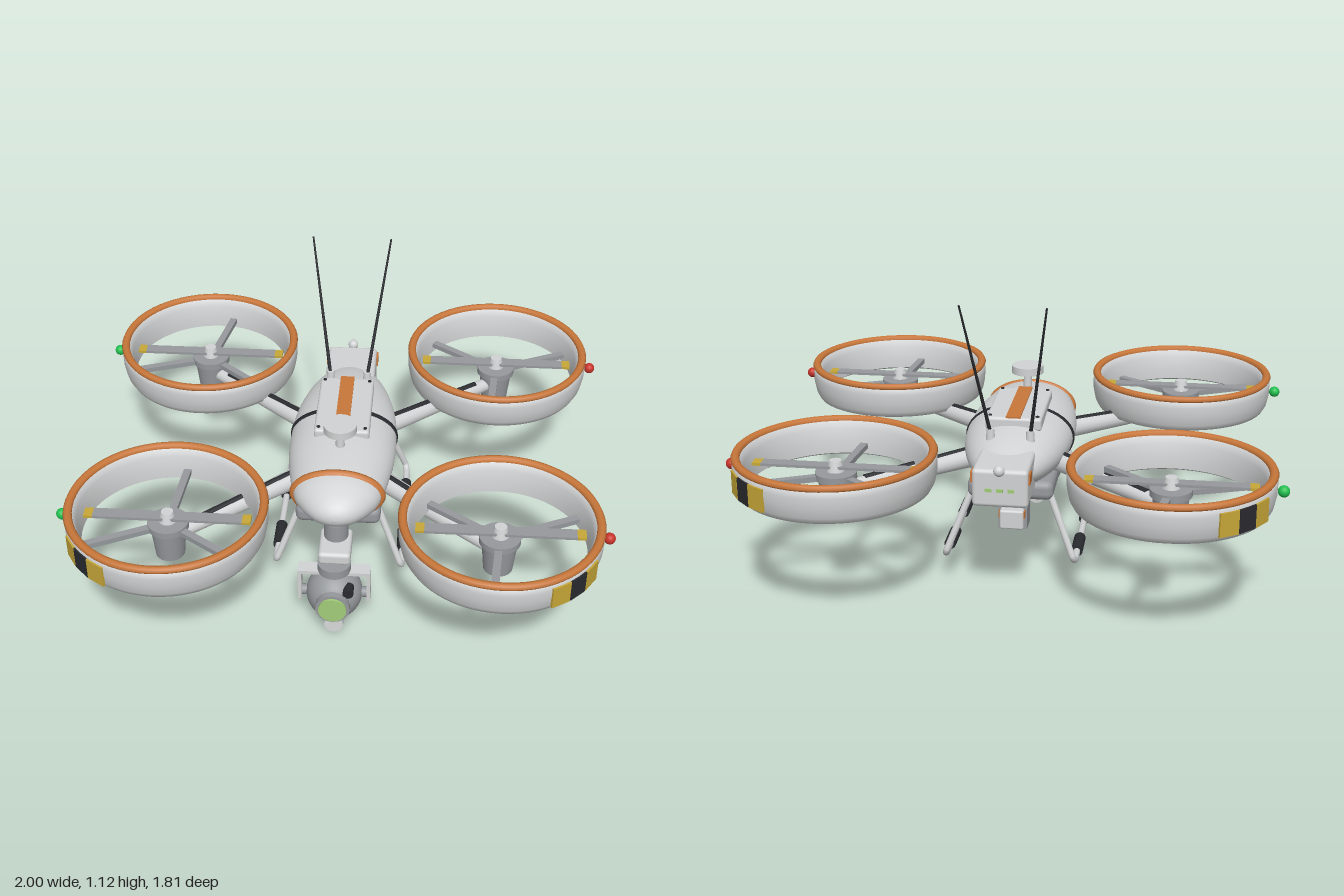
import * as THREE from 'three';
import { RoundedBoxGeometry } from 'three/addons/geometries/RoundedBoxGeometry.js';

const paint = (name, color) => Object.assign(new THREE.MeshStandardMaterial({ color }), { name });
const V = (x, y, z) => new THREE.Vector3(x, y, z);
const rad = THREE.MathUtils.degToRad;

export function createModel() {
  const shell = paint('light grey', 0xd2d3d4), metal = paint('mid grey', 0x96999d);
  const black = paint('black', 0x2a2b2f), orange = paint('orange', 0xc8773a);
  const yellow = paint('yellow', 0xc8a838), glass = paint('lens green', 0xa2cc78);
  const red = paint('red light', 0xc8342a), green = paint('green light', 0x22c050);

  const model = new THREE.Group();
  model.name = 'quadcopter';
  const group = (name, parent = model) => {
    const g = new THREE.Group();
    g.name = name;
    parent.add(g);
    return g;
  };
  const add = (parent, name, geo, mat, x = 0, y = 0, z = 0) => {
    const m = new THREE.Mesh(geo, mat);
    m.name = name;
    m.position.set(x, y, z);
    parent.add(m);
    return m;
  };
  const box = (w, h, d) => new THREE.BoxGeometry(w, h, d);
  const round = (w, h, d, r) => new RoundedBoxGeometry(w, h, d, 3, r);
  const cyl = (rt, rb, h, n = 28) => new THREE.CylinderGeometry(rt, rb, h, n);
  const ball = (r) => new THREE.SphereGeometry(r, 32, 20);
  const lathe = (pts, n = 48) => new THREE.LatheGeometry(pts.map(p => new THREE.Vector2(...p)), n);
  // Rod running from a to b
  const rod = (parent, name, a, b, ra, rb, mat) => {
    const d = b.clone().sub(a);
    const m = add(parent, name, cyl(rb, ra, d.length(), 16), mat);
    m.position.copy(a).lerp(b, 0.5);
    m.quaternion.setFromUnitVectors(V(0, 1, 0), d.normalize());
    return m;
  };

  // Fuselage: flattened body of revolution along z
  const body = group('fuselage');
  const profile = new THREE.SplineCurve([[0, -0.5], [0.06, -0.48], [0.12, -0.4], [0.165, -0.29],
    [0.196, -0.15], [0.205, 0], [0.198, 0.15], [0.165, 0.33], [0.13, 0.4], [0.085, 0.45],
    [0.04, 0.475], [0, 0.482]].map(p => new THREE.Vector2(...p)));
  const alongZ = (name, geo, mat) => {
    geo.rotateX(Math.PI / 2).scale(1, 0.61, 1);
    return add(body, name, geo, mat, 0, 0.5, 0);
  };
  const hullPoints = profile.getPoints(48).map(p => [Math.max(p.x, 0), p.y]);
  alongZ('hull', lathe(hullPoints), shell);
  alongZ('bodyBand', lathe([[0.2, -0.05], [0.209, -0.05], [0.209, -0.03], [0.2, -0.03]]), black);
  alongZ('noseRing', lathe([[0.155, 0.312], [0.174, 0.314], [0.179, 0.325], [0.172, 0.338], [0.15, 0.342]]), orange);
  add(body, 'bellyPlate', round(0.32, 0.075, 0.66, 0.028), metal, 0, 0.39, -0.005);

  // Top hatch with stripe and screws
  add(body, 'hatch', round(0.21, 0.05, 0.36, 0.012), shell, 0, 0.614, -0.058);
  add(body, 'hatchStripe', box(0.054, 0.006, 0.36), orange, 0, 0.641, -0.058);
  for (const x of [-0.088, 0.088]) for (const z of [-0.215, 0.1])
    add(body, 'hatchScrew', cyl(0.007, 0.007, 0.005, 10), black, x, 0.64, z);

  // Navigation disc on its stem
  add(body, 'navigationStem', cyl(0.015, 0.018, 0.1), shell, 0, 0.64, 0.18);
  add(body, 'navigationDisc', cyl(0.062, 0.062, 0.03, 36), shell, 0, 0.7, 0.18);

  // Tail block
  add(body, 'tailBlock', round(0.2, 0.14, 0.22, 0.015), shell, 0, 0.495, -0.468);
  add(body, 'tailBeacon', ball(0.02), shell, 0, 0.568, -0.588);
  for (const x of [-0.04, 0, 0.04])
    add(body, 'tailIndicator', box(0.024, 0.012, 0.006), glass, x, 0.49, -0.579);

  for (const s of [-1, 1]) {
    add(body, 'tailMarker', box(0.009, 0.04, 0.045), orange, s * 0.102, 0.53, -0.543);
    // Whip antennas
    add(body, 'antennaBase', cyl(0.014, 0.018, 0.05, 16), shell, s * 0.073, 0.595, -0.308);
    rod(body, 'antenna', V(s * 0.073, 0.6, -0.305), V(s * 0.152, 1.128, -0.485), 0.007, 0.0035, black);
  }

  // Four ducted rotors
  const ductProfile = [[0.312, 0.468], [0.325, 0.46], [0.342, 0.463], [0.354, 0.485], [0.362, 0.525],
    [0.363, 0.56], [0.36, 0.59], [0.335, 0.592], [0.322, 0.56], [0.313, 0.51], [0.312, 0.468]];
  const lipProfile = [[0.334, 0.586], [0.36, 0.583], [0.365, 0.592], [0.36, 0.602], [0.35, 0.606],
    [0.338, 0.602], [0.333, 0.594], [0.334, 0.586]];
  for (const sx of [-1, 1]) for (const sz of [-1, 1]) {
    const rotor = group('rotor');
    rotor.position.set(sx * 0.595, 0, sz * 0.54);
    add(rotor, 'duct', lathe(ductProfile, 64), shell);
    add(rotor, 'ductLip', lathe(lipProfile, 64), orange);
    add(rotor, 'motor', cyl(0.066, 0.053, 0.13), metal, 0, 0.435, 0);
    add(rotor, 'hub', cyl(0.075, 0.075, 0.025, 32), metal, 0, 0.505, 0);
    add(rotor, 'spinner', cyl(0.022, 0.032, 0.04, 20), shell, 0, 0.54, 0);
    add(rotor, 'propeller', box(0.54, 0.01, 0.047), metal, 0, 0.537, 0);
    for (const s of [-1, 1]) add(rotor, 'propellerTip', box(0.032, 0.01, 0.047), yellow, s * 0.286, 0.537, 0);
    const start = sx > 0 ? 25 : 83 + sz * 3;
    for (let k = 0; k < 3; k++) {
      const spoke = group('strut', rotor);
      spoke.rotation.y = rad(start + k * 120);
      add(spoke, 'strutBar', box(0.27, 0.02, 0.028), metal, 0.185, 0.5, 0);
    }
    // Warning plates on the outer corner
    [-12, 0, 12].forEach((off, i) => {
      const a = rad(45 + off);
      const plate = add(rotor, 'warningPlate', box(0.074, 0.085, 0.009), i === 1 ? black : yellow,
        sx * Math.sin(a) * 0.363, 0.528, sz * Math.cos(a) * 0.363);
      plate.rotation.y = Math.atan2(sx * Math.sin(a), sz * Math.cos(a));
    });
    add(rotor, 'navigationLight', ball(0.021), sx > 0 ? red : green, sx * 0.384, 0.527, 0);

    // Arm with cable strip
    const arm = group('arm');
    rod(arm, 'armTube', V(sx * 0.12, 0.46, sz * 0.145), V(sx * 0.57, 0.445, sz * 0.52), 0.04, 0.026, shell);
    rod(arm, 'armCable', V(sx * 0.18, 0.488, sz * 0.195), V(sx * 0.51, 0.468, sz * 0.47), 0.013, 0.013, black);
  }

  // Landing gear: one bent tube per side with grip sleeves
  for (const s of [-1, 1]) {
    const gear = group('landingGear');
    const path = new THREE.CatmullRomCurve3([V(s * 0.145, 0.375, 0.23), V(s * 0.235, 0.145, 0.28),
      V(s * 0.243, 0.12, 0.262), V(s * 0.243, 0.12, -0.315), V(s * 0.235, 0.145, -0.343),
      V(s * 0.145, 0.375, -0.3)], false, 'catmullrom', 0.08);
    add(gear, 'skidTube', new THREE.TubeGeometry(path, 120, 0.013, 12), shell);
    for (const z of [0.125, -0.18])
      add(gear, 'skidSleeve', cyl(0.022, 0.022, 0.124, 20), black, s * 0.243, 0.12, z).rotation.x = Math.PI / 2;
  }

  // Payload sensor under the belly
  const payload = group('payload');
  rod(payload, 'probe', V(0, 0.252, -0.08), V(0, 0.252, 0.3), 0.012, 0.012, shell);
  rod(payload, 'probeTip', V(0, 0.252, 0.28), V(0, 0.252, 0.306), 0.018, 0.018, metal);
  rod(payload, 'probeCollar', V(0, 0.252, 0.165), V(0, 0.252, 0.19), 0.017, 0.017, metal);
  add(payload, 'payloadBox', round(0.09, 0.075, 0.225, 0.008), shell, 0, 0.252, -0.178);
  add(payload, 'payloadClamp', box(0.11, 0.085, 0.085), metal, 0, 0.247, -0.214);
  add(payload, 'payloadMount', box(0.07, 0.09, 0.085), shell, 0, 0.325, -0.178);
  for (const s of [-1, 1]) add(payload, 'payloadMarker', box(0.006, 0.028, 0.018), orange, s * 0.046, 0.27, -0.27);

  // Camera gimbal
  const gimbal = group('gimbal');
  add(gimbal, 'gimbalPost', cyl(0.045, 0.045, 0.1), metal, 0, 0.38, 0.39);
  add(gimbal, 'gimbalMount', round(0.12, 0.052, 0.16, 0.015), shell, 0, 0.332, 0.425);
  add(gimbal, 'gimbalMotor', cyl(0.062, 0.062, 0.035, 32), metal, 0, 0.295, 0.488);
  add(gimbal, 'yokeTop', box(0.27, 0.014, 0.054), shell, 0, 0.275, 0.488);
  for (const s of [-1, 1]) {
    add(gimbal, 'yokeArm', box(0.014, 0.135, 0.054), shell, s * 0.128, 0.2125, 0.488);
    add(gimbal, 'yokePin', cyl(0.02, 0.02, 0.04, 16), metal, s * 0.112, 0.17, 0.488).rotation.z = Math.PI / 2;
  }
  add(gimbal, 'cameraBall', ball(0.105), metal, 0, 0.17, 0.488);
  const facing = (name, r, z0, z1, mat, x, y) => rod(gimbal, name, V(x, y, z0), V(x, y, z1), r, r, mat);
  facing('lensHousing', 0.064, 0.54, 0.595, metal, 0, 0.172);
  add(gimbal, 'lens', cyl(0.052, 0.052, 0.012, 32), glass, 0, 0.172, 0.598).rotation.x = Math.PI / 2;
  facing('rangeSensor', 0.02, 0.53, 0.575, black, 0.056, 0.23);
  const lower = facing('lowerSensor', 0.036, 0.463, 0.543, shell, 0, 0.043);
  lower.rotateX(-0.06);
  add(gimbal, 'lowerSensorNeck', cyl(0.02, 0.02, 0.05, 16), metal, 0, 0.07, 0.5);

  return model;
}
